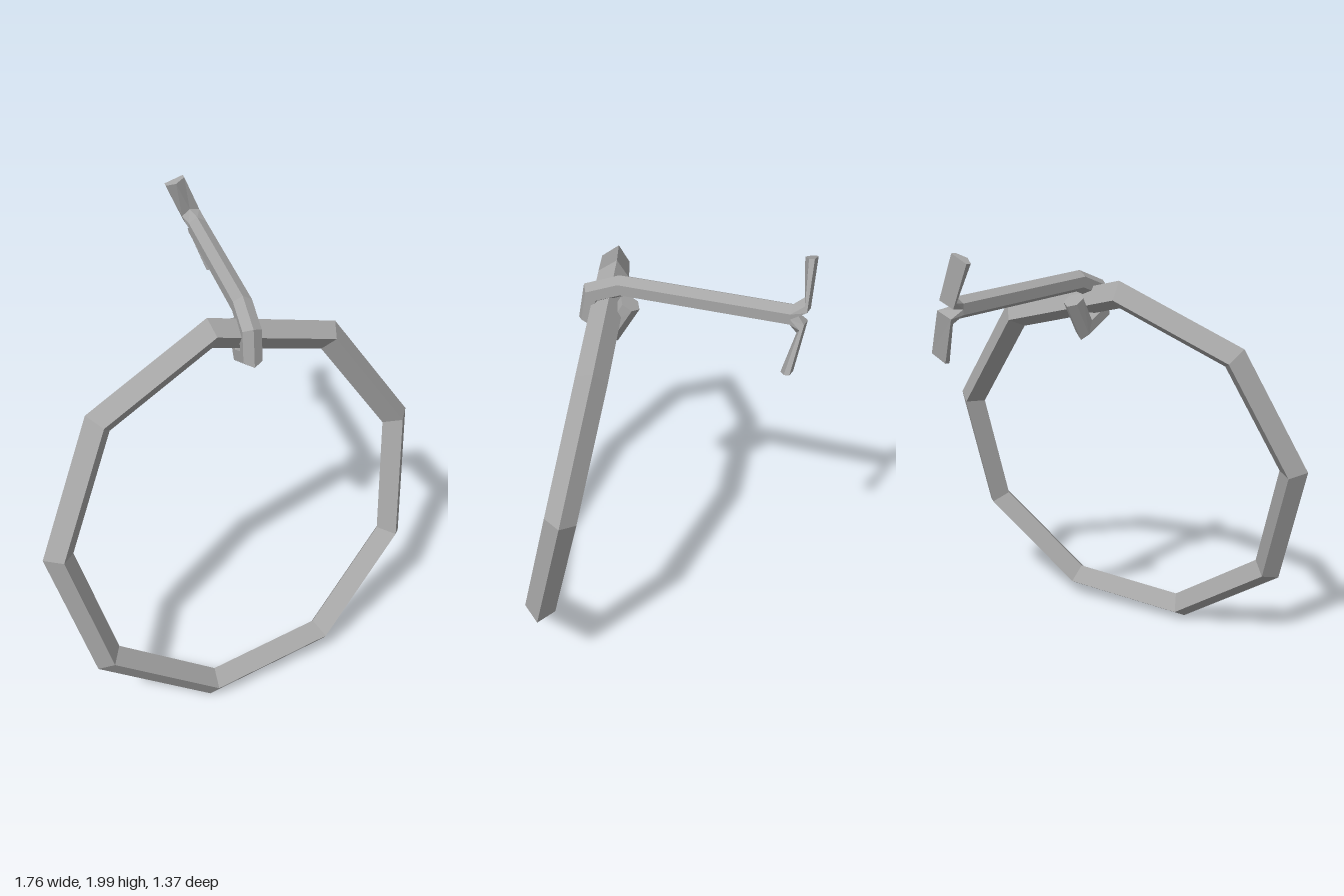
import * as THREE from 'three';

const V = (x, y, z) => new THREE.Vector3(x, y, z);

// Skin closed cross-sections (arrays of Vector3, counter-clockwise about the travel direction) and cap both ends
function loft(rings) {
  const n = rings[0].length, last = rings.length - 1, pos = [];
  const tri = (...p) => p.forEach((v) => pos.push(v.x, v.y, v.z));
  for (let i = 0; i < last; i++) {
    for (let j = 0; j < n; j++) {
      const k = (j + 1) % n, a = rings[i], b = rings[i + 1];
      tri(a[j], a[k], b[k]);
      tri(a[j], b[k], b[j]);
    }
  }
  for (let j = 1; j < n - 1; j++) {
    tri(rings[0][0], rings[0][j + 1], rings[0][j]);
    tri(rings[last][0], rings[last][j], rings[last][j + 1]);
  }
  const g = new THREE.BufferGeometry();
  g.setAttribute('position', new THREE.Float32BufferAttribute(pos, 3));
  g.computeVertexNormals();
  return g;
}

const section = (p, u, v, pts) =>
  pts.map(([a, b]) => p.clone().addScaledVector(u, a).addScaledVector(v, b));

export function createModel() {
  const group = new THREE.Group();
  const metal = new THREE.MeshStandardMaterial({ color: 0xa6a6a6 });
  metal.name = 'grey metal';
  metal.flatShading = true;
  const add = (geometry, name) => {
    const m = new THREE.Mesh(geometry, metal);
    m.name = name;
    group.add(m);
    return m;
  };

  // Nine-sided ring with a diamond section, hanging tilted
  const normal = V(0.23, 0.211, 0.95).normalize();
  const across = V(0.863, 0.214, -0.256).projectOnPlane(normal).normalize();
  const up = normal.clone().cross(across);
  const ring = add(new THREE.TorusGeometry(0.858, 0.067, 4, 9), 'ring');
  ring.quaternion.setFromRotationMatrix(new THREE.Matrix4().makeBasis(across, up, normal));
  ring.position.set(0.017, 0.876, 0.356);

  // Hexagonal rod: straight shank, then a hook around the ring
  const w = 0.041, s = 0.0235, h = 0.047, cx = 0.085;
  const hex = [[w, -s], [w, s], [0, h], [-w, s], [-w, -s], [0, -h]];
  const path = [
    V(cx, 1.766, -0.62), V(cx, 1.766, 0.1), V(cx, 1.712, 0.225),
    V(cx, 1.605, 0.243), V(cx, 1.553, 0.14), V(cx - 0.005, 1.685, 0.065),
  ];
  const side = V(1, 0, 0);
  const rodRings = path.map((p, i) => {
    const before = p.clone().sub(path[Math.max(i - 1, 0)]).normalize();
    const after = path[Math.min(i + 1, path.length - 1)].clone().sub(p).normalize();
    const t = before.clone().add(after).normalize();
    const inner = i > 0 && i < path.length - 1;
    const mitre = inner ? 1 / t.dot(after) : 1;
    return section(p, side, V(0, t.z, -t.y).multiplyScalar(mitre), hex);
  });
  add(loft(rodRings), 'hookRod');

  // The shank's end splits into two half-hexagon prongs, bent up and down
  const half = [[1, 0], [1, 0.5], [0, 1], [-1, 0.5], [-1, 0]];
  const prong = (sign, stations, name) => {
    add(loft(stations.map(([flat, apex, tilt, width]) => section(
      flat,
      V(-sign, -sign * tilt, 0).normalize().multiplyScalar(width),
      apex.clone().sub(flat),
      half,
    ))), name);
  };
  prong(1, [
    [V(cx, 1.766, -0.62), V(cx, 1.813, -0.62), 0, w],
    [V(0.075, 1.79, -0.684), V(0.06, 1.838, -0.66), 0.3, 0.043],
    [V(-0.007, 1.985, -0.682), V(-0.007, 1.982, -0.636), 0.36, 0.046],
  ], 'upperProng');
  prong(-1, [
    [V(cx, 1.766, -0.62), V(cx, 1.719, -0.62), 0, w],
    [V(0.095, 1.745, -0.68), V(0.11, 1.7, -0.648), 0.3, 0.043],
    [V(0.172, 1.545, -0.652), V(0.172, 1.542, -0.607), 0.36, 0.044],
  ], 'lowerProng');

  return group;
}
